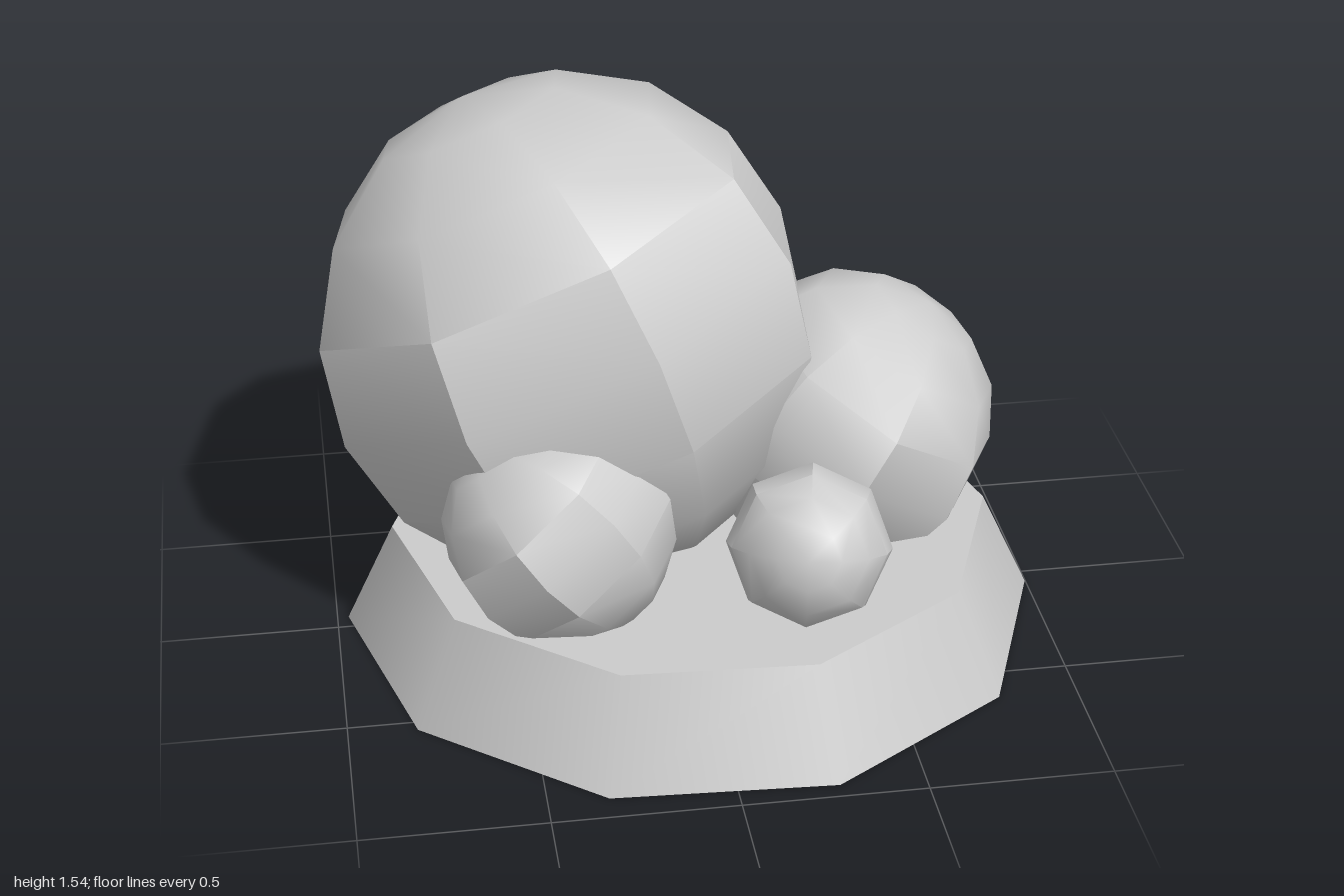
import * as THREE from 'three';
import { toCreasedNormals } from 'three/addons/utils/BufferGeometryUtils.js';

const material = new THREE.MeshStandardMaterial({ color: 0xcccccc });

// Faceted boulder: its pole axis and one meridian direction set its orientation
function boulder(name, center, radius, pole, meridian) {
  const sphere = new THREE.SphereGeometry(radius, 8, 8);
  const mesh = new THREE.Mesh(toCreasedNormals(sphere, THREE.MathUtils.degToRad(40)), material);
  const up = new THREE.Vector3(...pole).normalize();
  const side = new THREE.Vector3(...meridian);
  side.addScaledVector(up, -side.dot(up)).normalize();
  const front = new THREE.Vector3().crossVectors(side, up);
  mesh.quaternion.setFromRotationMatrix(new THREE.Matrix4().makeBasis(side, up, front));
  mesh.position.set(...center);
  mesh.name = name;
  return mesh;
}

export function createModel() {
  const group = new THREE.Group();
  group.name = 'boulderPile';

  // Ten-sided tapered plinth
  const height = 0.295;
  const base = new THREE.Mesh(
    new THREE.CylinderGeometry(0.847, 0.985, height, 10, 1, false, THREE.MathUtils.degToRad(15)),
    material
  );
  base.position.set(0.015, height / 2, 0);
  base.name = 'base';
  group.add(base);

  // Four boulders, each tilted its own way and sunk into the plinth
  group.add(
    boulder('largeBoulder', [-0.305, 0.823, -0.187], 0.717, [-0.366, 0.91, -0.195], [0.8, 0.415, 0.427]),
    boulder('leftBoulder', [0.473, 0.52, -0.075], 0.43, [0.545, 0.839, 0.04], [0.84, -0.545, 0.06]),
    boulder('rightBoulder', [-0.4, 0.5, 0.375], 0.318, [-0.643, 0.75, -0.147], [-0.19, 0, 0.98]),
    boulder('smallBoulder', [0.247, 0.515, 0.577], 0.222, [-0.18, 0.34, 0.92], [0.98, -0.02, 0.2])
  );
  return group;
}
